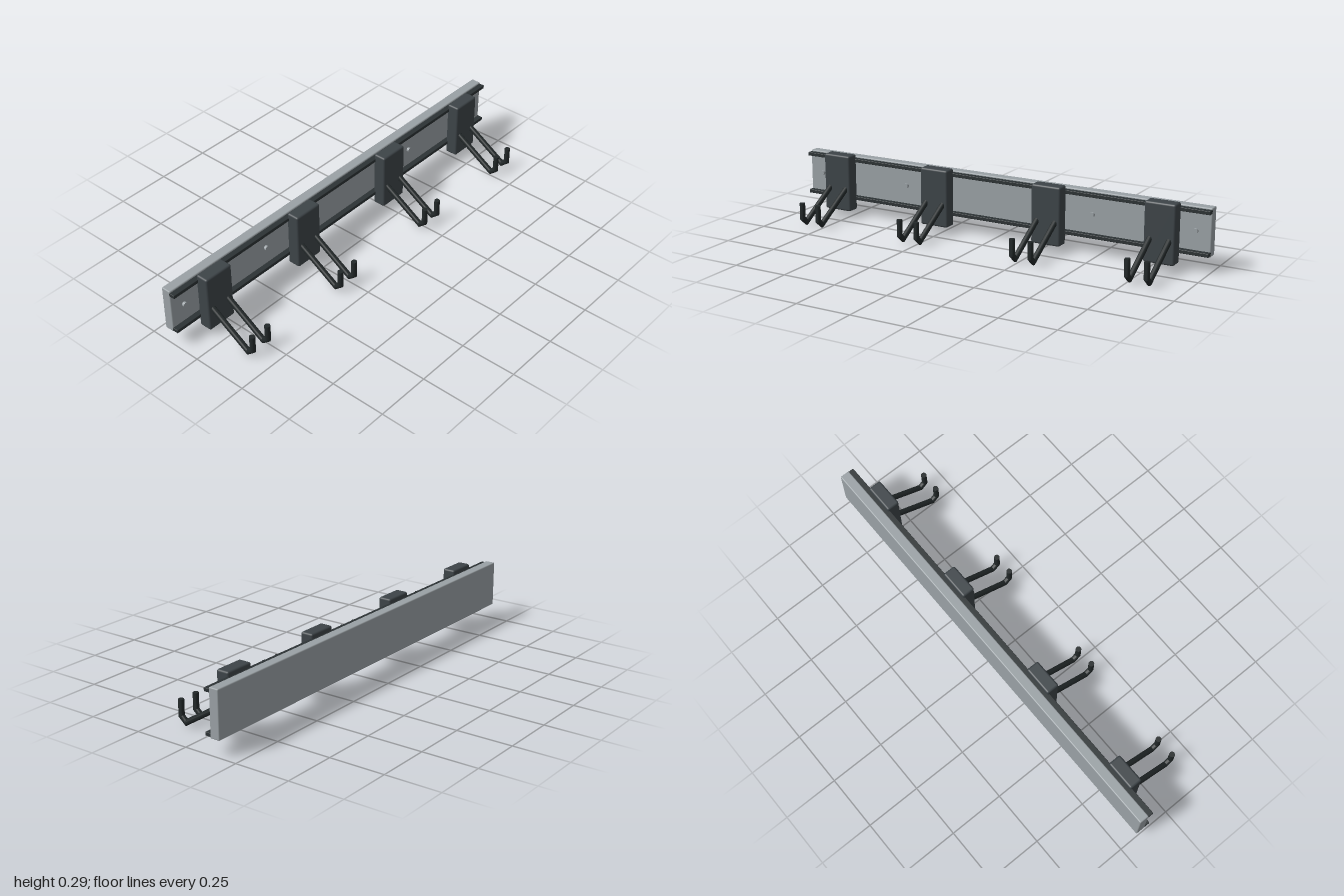
import * as THREE from 'three';
import { RoundedBoxGeometry } from 'three/addons/geometries/RoundedBoxGeometry.js';
import { toCreasedNormals } from 'three/addons/utils/BufferGeometryUtils.js';

const mat = (color) => new THREE.MeshStandardMaterial({ color });

// Round rod swept along a path of [z, y] points with mitred bends
function rodGeometry(points, radius) {
  const p = points.map(([z, y]) => new THREE.Vector2(z, y));
  const last = p.length - 1;
  const normals = [];
  for (let i = 0; i < last; i++) {
    const d = p[i + 1].clone().sub(p[i]).normalize();
    normals.push(new THREE.Vector2(-d.y, d.x));
  }
  const miters = p.map((_, i) => {
    const a = normals[Math.max(i - 1, 0)], b = normals[Math.min(i, last - 1)];
    return a.clone().add(b).divideScalar(1 + a.dot(b));
  });
  const geo = new THREE.CylinderGeometry(radius, radius, last, 16, last);
  const pos = geo.attributes.position;
  for (let i = 0; i < pos.count; i++) {
    const ring = Math.round(pos.getY(i) + last / 2);
    const x = pos.getX(i), s = -pos.getZ(i);
    pos.setXYZ(i, x, p[ring].y + miters[ring].y * s, p[ring].x + miters[ring].x * s);
  }
  return toCreasedNormals(geo, 0.6);
}

export function createModel() {
  const model = new THREE.Group();
  const railMat = mat(0x9aa1a5), stripMat = mat(0x2c3234);
  const blockMat = mat(0x3d4448), hookMat = mat(0x222829);

  const add = (parent, name, geometry, material, x, y, z) => {
    const mesh = new THREE.Mesh(geometry, material);
    mesh.name = name;
    mesh.position.set(x, y, z);
    parent.add(mesh);
    return mesh;
  };

  // Wall rail with two guide strips along its front
  add(model, 'rail', new RoundedBoxGeometry(2, 0.209, 0.045, 2, 0.005), railMat, 0, 0.1775, -0.149);
  const strip = new RoundedBoxGeometry(2, 0.016, 0.028, 2, 0.002);
  add(model, 'upperStrip', strip, stripMat, 0, 0.267, -0.116);
  add(model, 'lowerStrip', strip, stripMat, 0, 0.087, -0.116);

  // Screw heads
  const screw = new THREE.CylinderGeometry(0.0105, 0.0105, 0.016, 20).rotateX(Math.PI / 2);
  for (const x of [-0.933, -0.467, 0.467, 0.933]) add(model, 'screw', screw, railMat, x, 0.179, -0.123);

  // Sliding blocks, each with a pair of bent hooks
  const block = new RoundedBoxGeometry(0.138, 0.262, 0.06, 3, 0.009);
  const hook = rodGeometry([[-0.08, 0.152], [0.134, 0.019], [0.16, 0.041], [0.16, 0.113]], 0.0125);
  for (const x of [-0.802, -0.279, 0.279, 0.802]) {
    const holder = new THREE.Group();
    holder.name = 'hookHolder';
    holder.position.x = x;
    add(holder, 'block', block, blockMat, 0, 0.165, -0.082);
    for (const side of [-1, 1]) add(holder, 'hook', hook, hookMat, side * 0.043, 0, 0);
    model.add(holder);
  }
  return model;
}
